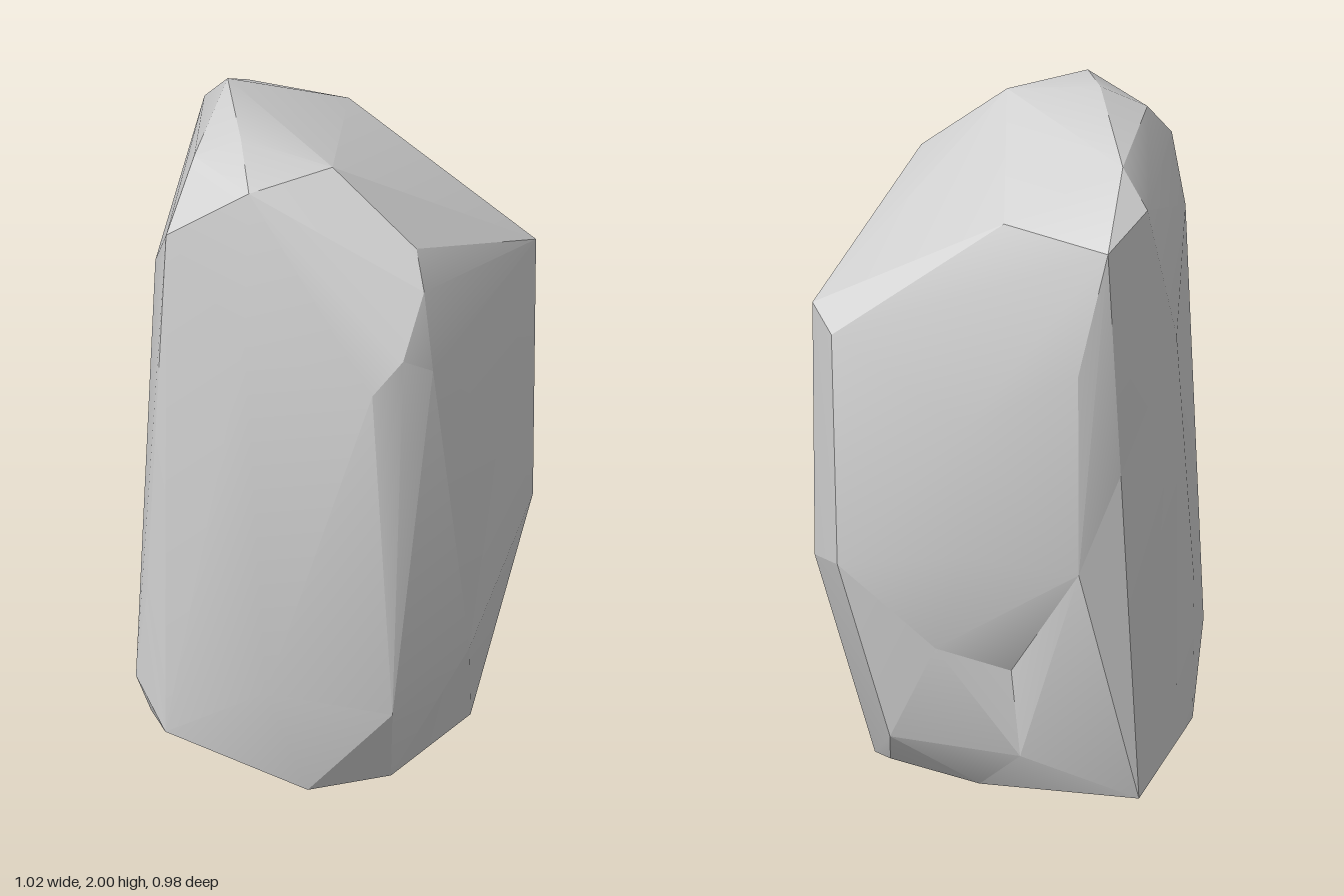
import * as THREE from 'three';
import { ConvexGeometry } from 'three/addons/geometries/ConvexGeometry.js';
import { toCreasedNormals } from 'three/addons/utils/BufferGeometryUtils.js';

// Corners of the boulder, grouped by region
const crown = [
  [-0.23, 2, 0.21], [-0.16, 1.95, 0.42], [0.04, 1.96, 0.24], [-0.36, 1.95, -0.2],
  [-0.36, 1.94, 0.23], [-0.05, 1.83, -0.37], [-0.36, 1.8, -0.46], [-0.4, 1.78, 0.41],
  [-0.44, 1.85, -0.26],
];
const shoulder = [
  [0.29, 1.75, 0.28], [0.33, 1.66, 0.36], [0.51, 1.5, -0.27], [0.44, 1.45, -0.37],
  [0.29, 1.48, 0.45], [0.36, 1.42, 0.38], [0.21, 1.38, 0.49], [-0.16, 1.5, 0.475],
];
const leftWall = [
  [-0.5, 1.4, -0.12], [-0.5, 0.32, -0.12], [-0.515, 0.55, 0.09], [-0.5, 0.31, 0.35],
  [-0.5, 0.09, 0.157], [-0.46, 1.62, 0.28], [-0.46, 0.6, 0.39],
];
const rightWall = [
  [0.51, 0.7, -0.23], [0.48, 1.1, 0.03], [0.42, 0.42, 0.18], [0.42, 0.75, -0.39],
];
const backWall = [[-0.28, 1.43, -0.49], [0.04, 1.25, -0.49], [0.05, 0.84, -0.48]];
const frontFoot = [
  [-0.4, 0.18, 0.42], [0, 0.02, 0.38], [-0.1, 0.37, 0.47], [0.25, 0.31, 0.41],
  [0.21, 0.02, 0.25], [-0.23, 0, 0.21],
];
const backFoot = [
  [0.36, 0.04, -0.1], [0.28, 0.2, -0.33], [0.3, 0.07, -0.2],
];

// Rim, pit and floor of the hollow low on the back
const rimLeft = [-0.28, 0.81, -0.48];
const rimRight = [0.138, 0.52, -0.41];
const pit = [-0.07, 0.447, -0.367];
const floor = [[-0.094, 0.18, -0.358], [0.04, 0.03, -0.24]];

// Ridge on the back left corner
const ridge = [-0.39, 1.1, -0.42];
const spurTip = [-0.43, 0.07, -0.35];

export function createModel() {
  const group = new THREE.Group();
  group.name = 'boulder';
  const stone = new THREE.MeshStandardMaterial({ color: 0xd2d2d2 });
  stone.name = 'grey stone';

  function addRock(name, points) {
    const hull = new ConvexGeometry(points.map((p) => new THREE.Vector3(...p)));
    const mesh = new THREE.Mesh(toCreasedNormals(hull, 0.4), stone);
    mesh.name = name;
    group.add(mesh);
  }

  // Main body, undercut above the hollow
  addRock('boulderBody', [
    ...crown, ...shoulder, ...leftWall, ...rightWall, ...backWall, ...frontFoot,
    rimLeft, rimRight, pit, ridge,
  ]);
  // Lower right part, beside the hollow
  addRock('boulderFoot', [
    ...rightWall, ...frontFoot, ...backFoot, ...floor, rimRight, pit,
  ]);
  // Spur running down the back left corner
  addRock('boulderSpur', [
    spurTip, ridge, rimLeft, pit, ...floor, ...leftWall.slice(0, 5), frontFoot[5],
  ]);
  return group;
}
